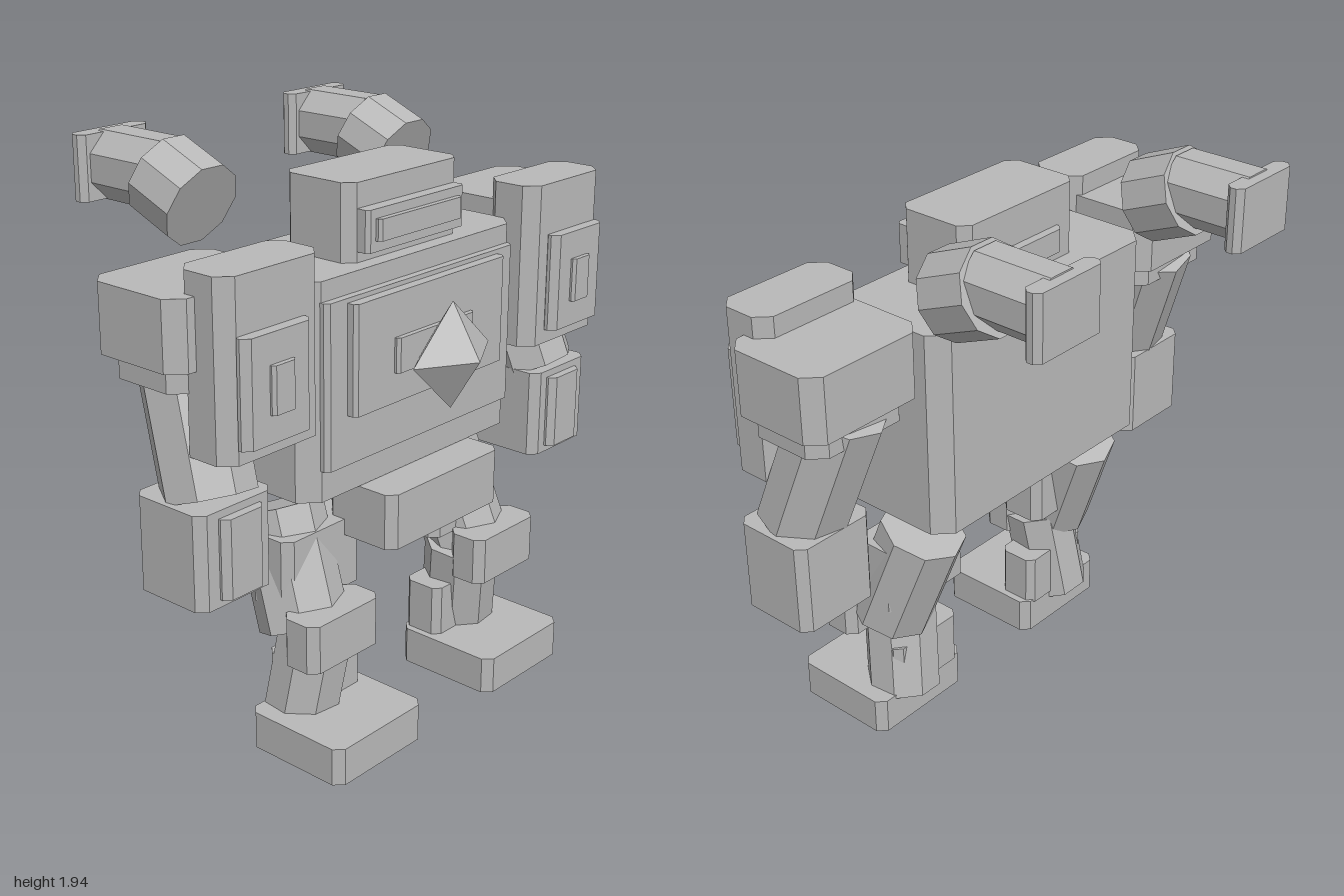
import * as THREE from 'three';

const grey = new THREE.MeshStandardMaterial({ color: 0xb8b8b8 });
grey.name = 'plain grey';

function add(parent, name, geometry) {
  const mesh = new THREE.Mesh(geometry, grey);
  mesh.name = name;
  parent.add(mesh);
  return mesh;
}

// Block given by its limits, with its four upright edges cut off by c
function block(parent, name, [x0, x1], [y0, y1], [z0, z1], c = 0.03) {
  const w = (x1 - x0) / 2, d = (z1 - z0) / 2;
  const k = Math.min(c, w * 0.8, d * 0.8);
  const shape = new THREE.Shape([
    [w - k, -d], [w, k - d], [w, d - k], [w - k, d],
    [k - w, d], [-w, d - k], [-w, k - d], [k - w, -d],
  ].map(([x, y]) => new THREE.Vector2(x, y)));
  const geometry = new THREE.ExtrudeGeometry(shape, { depth: y1 - y0, bevelEnabled: false });
  geometry.rotateX(-Math.PI / 2);
  return add(parent, name, geometry.translate((x0 + x1) / 2, y0, (z0 + z1) / 2));
}

// Faceted limb running from point a to point b
function limb(parent, name, a, b, radius, sides = 8, turn = Math.PI / 8) {
  const from = new THREE.Vector3(...a), to = new THREE.Vector3(...b);
  const axis = to.clone().sub(from);
  let geometry = new THREE.CylinderGeometry(radius, radius, axis.length(), sides);
  geometry.rotateY(turn);
  geometry = geometry.toNonIndexed();
  geometry.computeVertexNormals();
  const mesh = add(parent, name, geometry);
  mesh.position.copy(from).add(to).multiplyScalar(0.5);
  mesh.quaternion.setFromUnitVectors(new THREE.Vector3(0, 1, 0), axis.normalize());
  return mesh;
}

function buildBody(parent) {
  const body = new THREE.Group();
  body.name = 'body';
  parent.add(body);
  block(body, 'torso', [-0.515, 0.515], [0.88, 1.59], [-0.11, 0.335], 0.058);
  block(body, 'chestPlate', [-0.46, 0.46], [0.985, 1.525], [0.3, 0.362], 0.015);
  block(body, 'chestPanel', [-0.37, 0.37], [1.15, 1.51], [0.34, 0.397], 0.012);
  block(body, 'gemMount', [-0.19, 0.19], [1.25, 1.365], [0.38, 0.415], 0.01);
  const gem = add(body, 'chestGem', new THREE.OctahedronGeometry(1));
  gem.scale.set(0.19, 0.178, 0.112);
  gem.position.set(0, 1.278, 0.472);
  block(body, 'hips', [-0.28, 0.28], [0.69, 0.878], [0.19, 0.47], 0.03);

  // Head with visor and rear plate
  block(body, 'head', [-0.27, 0.27], [1.58, 1.84], [0, 0.28], 0.035);
  block(body, 'visorFrame', [-0.235, 0.235], [1.625, 1.76], [0.26, 0.325], 0.012);
  block(body, 'visor', [-0.2, 0.2], [1.66, 1.73], [0.3, 0.345], 0.01);
  block(body, 'headRearPlate', [-0.17, 0.17], [1.63, 1.71], [-0.03, 0.03], 0.02);
}

// Arm on the +x side; s mirrors it
function buildArm(parent, s) {
  const arm = new THREE.Group();
  arm.name = s > 0 ? 'leftArm' : 'rightArm';
  parent.add(arm);
  const box = (name, x, y, z, c) => block(arm, name, s > 0 ? x : [-x[1], -x[0]], y, z, c);
  limb(arm, 'shoulderAxle', [s * 0.45, 1.53, 0.11], [s * 0.58, 1.53, 0.11], 0.04);
  box('shoulder', [0.54, 1.0], [1.42, 1.64], [-0.08, 0.285], 0.05);
  box('shoulderCollar', [0.575, 0.965], [1.345, 1.43], [-0.045, 0.255], 0.05);
  box('shoulderGuard', [0.51, 0.92], [1.15, 1.71], [0.2, 0.4], 0.045);
  box('guardPanel', [0.6, 0.88], [1.2, 1.535], [0.38, 0.44], 0.025);
  box('guardStud', [0.69, 0.785], [1.29, 1.44], [0.42, 0.457], 0.01);
  limb(arm, 'upperArm', [s * 0.765, 1.42, 0.055], [s * 0.812, 0.985, 0.21], 0.15);
  box('forearm', [0.665, 0.975], [0.69, 1.0], [0.05, 0.335], 0.03);
  box('forearmPanel', [0.73, 0.9], [0.715, 0.975], [0.31, 0.365], 0.03);
}

function buildLeg(parent, s) {
  const leg = new THREE.Group();
  leg.name = s > 0 ? 'leftLeg' : 'rightLeg';
  parent.add(leg);
  const box = (name, x, y, z, c) => block(leg, name, s > 0 ? x : [-x[1], -x[0]], y, z, c);
  limb(leg, 'thigh', [s * 0.4, 0.785, 0.09], [s * 0.43, 0.415, 0.23], 0.148);
  box('thighBlock', [0.19, 0.545], [0.505, 0.745], [0.095, 0.27], 0.03);
  box('knee', [0.26, 0.585], [0.35, 0.515], [0.27, 0.415], 0.03);
  limb(leg, 'shin', [s * 0.375, 0.44, 0.245], [s * 0.415, 0.095, 0.2], 0.13);
  box('ankle', [0.2, 0.505], [0.12, 0.31], [0.13, 0.28], 0.025);
  box('foot', [0.175, 0.595], [0, 0.13], [0.135, 0.53], 0.03);
}

// Floating two-piece cylinders behind the shoulders
function buildCannon(parent, s) {
  const cannon = new THREE.Group();
  cannon.name = s > 0 ? 'leftCannon' : 'rightCannon';
  parent.add(cannon);
  const x = s * 0.48;
  limb(cannon, 'cannonMuzzle', [x, 1.745, -0.14], [x, 1.815, -0.31], 0.145, 10, Math.PI / 2);
  limb(cannon, 'cannonBarrel', [x, 1.823, -0.27], [x, 1.823, -0.55], 0.121);
  block(cannon, 'cannonBackPlate', [x - 0.145, x + 0.145], [1.715, 1.93], [-0.587, -0.525], 0.02);
}

export function createModel() {
  const model = new THREE.Group();
  model.name = 'robot';
  buildBody(model);
  for (const s of [-1, 1]) {
    buildArm(model, s);
    buildLeg(model, s);
    buildCannon(model, s);
  }
  return model;
}
